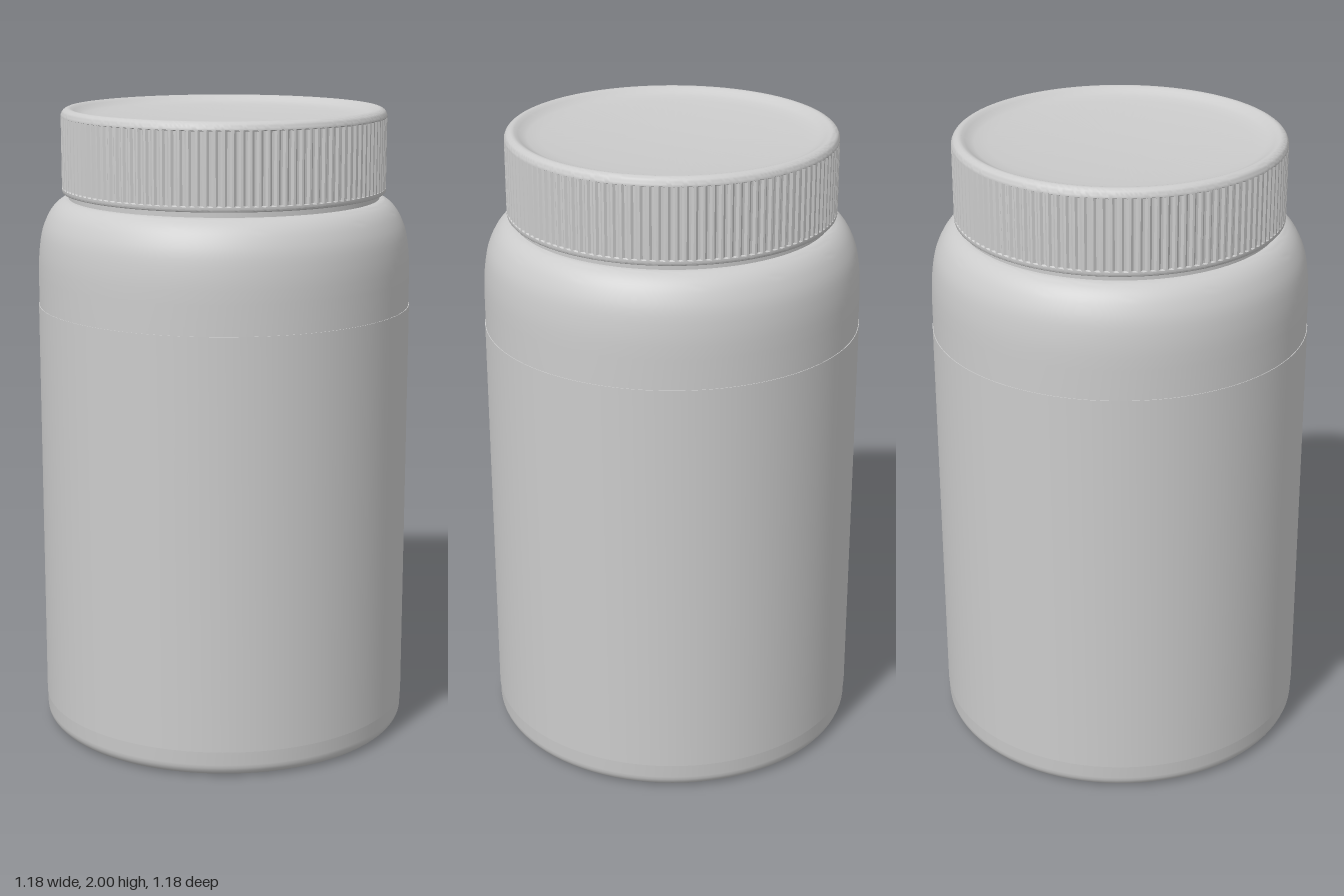
import * as THREE from 'three';
import { toCreasedNormals } from 'three/addons/utils/BufferGeometryUtils.js';

const material = new THREE.MeshStandardMaterial({ color: 0xcccccc });
const v = (x, y) => new THREE.Vector2(x, y);

// quarter-round profile points between two angles (degrees)
function fillet(cx, cy, r, from, to, steps = 5) {
  const pts = [];
  for (let i = 0; i <= steps; i++) {
    const a = THREE.MathUtils.degToRad(from + (to - from) * i / steps);
    pts.push(v(cx + r * Math.cos(a), cy + r * Math.sin(a)));
  }
  return pts;
}

function part(name, geometry, crease = 0.6) {
  const mesh = new THREE.Mesh(toCreasedNormals(geometry, crease), material);
  mesh.name = name;
  return mesh;
}

function makeBody() {
  // rounded shoulder running into the neck
  const shoulder = new THREE.SplineCurve([
    v(0.588, 1.48), v(0.585, 1.55), v(0.574, 1.62), v(0.553, 1.67), v(0.53, 1.7), v(0.505, 1.717), v(0.49, 1.72),
  ]).getPoints(20);
  const profile = [
    v(0, 0), ...fillet(0.546, 0.042, 0.042, -90, 0, 6),
    ...shoulder, v(0.49, 1.78), v(0, 1.78),
  ];
  return part('bottleBody', new THREE.LatheGeometry(profile, 96));
}

function makeLabel() {
  // thin sleeve wrapped around the straight wall
  const profile = [v(0.587, 0.085), v(0.59, 0.085), v(0.59, 1.385), v(0.587, 1.385)];
  return part('label', new THREE.LatheGeometry(profile, 96));
}

function makeLid() {
  const ribs = 120, perRib = 4, low = 1.755, high = 1.972;
  const profile = [
    v(0.48, 1.737), ...fillet(0.502, 1.745, 0.008, -90, 0, 3),
    v(0.51, low - 0.003), v(0.51, low), v(0.51, high), v(0.51, high + 0.003),
    ...fillet(0.485, 1.975, 0.025, 0, 90, 6),
    // shallow dished top
    v(0.478, 1.998), v(0.468, 1.992), v(0.455, 1.984), v(0.44, 1.979),
    v(0.4, 1.974), v(0.3, 1.967), v(0.15, 1.961), v(0, 1.959),
  ];
  const geometry = new THREE.LatheGeometry(profile, ribs * perRib);
  // press grip grooves into the side wall: two columns out, two columns in
  const p = geometry.attributes.position;
  const rings = profile.length;
  for (let i = 0; i < p.count; i++) {
    const column = Math.floor(i / rings) % perRib;
    const y = p.getY(i);
    if (column < 2 || y < low - 1e-4 || y > high + 1e-4) continue;
    const s = 0.504 / 0.51;
    p.setXYZ(i, p.getX(i) * s, y, p.getZ(i) * s);
  }
  return part('ribbedLid', geometry, 0.6);
}

export function createModel() {
  const model = new THREE.Group();
  model.name = 'jar';
  model.add(makeBody(), makeLabel(), makeLid());
  return model;
}
